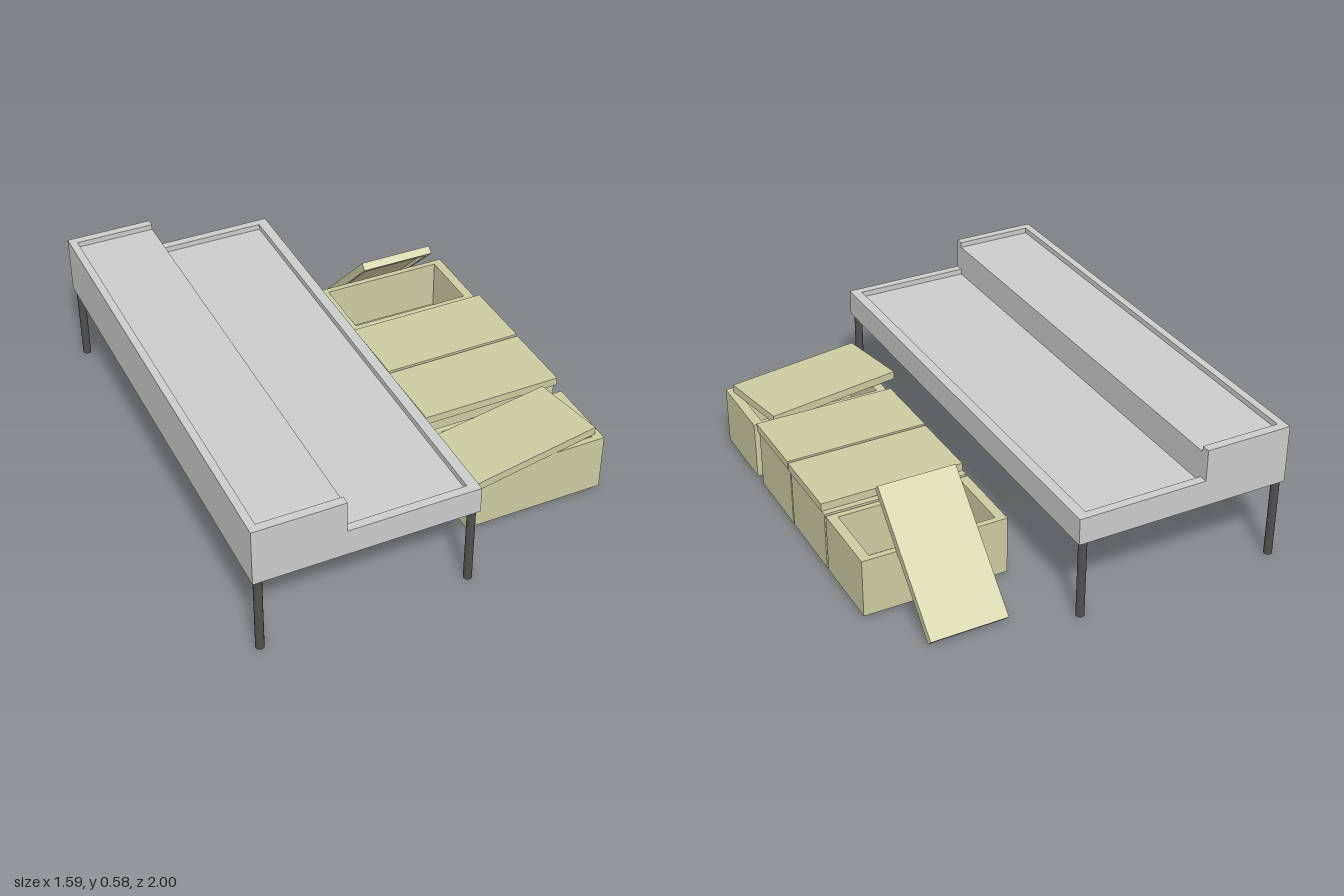
import * as THREE from 'three';

const grey = new THREE.MeshStandardMaterial({ color: 0xcccccc, name: 'lightGrey' });
const dark = new THREE.MeshStandardMaterial({ color: 0x505050, name: 'darkGrey' });
const khaki = new THREE.MeshStandardMaterial({ color: 0xcccca2, name: 'paleKhaki' });

function mesh(name, geometry, material, x = 0, y = 0, z = 0) {
  const m = new THREE.Mesh(geometry, material);
  m.name = name;
  m.position.set(x, y, z);
  return m;
}

// Profile in x/y extruded along z from z0 to z1
function slab(name, points, z0, z1, material) {
  const shape = new THREE.Shape(points.map(([x, y]) => new THREE.Vector2(x, y)));
  const geo = new THREE.ExtrudeGeometry(shape, { depth: z1 - z0, bevelEnabled: false });
  return mesh(name, geo, material, 0, 0, z0);
}

function rectangle(target, w, d) {
  target.moveTo(-w / 2, -d / 2);
  target.lineTo(w / 2, -d / 2);
  target.lineTo(w / 2, d / 2);
  target.lineTo(-w / 2, d / 2);
  target.closePath();
  return target;
}

// Open-topped tray centred on its origin: hollow wall frame plus a floor panel
function tray(name, w, h, d, wallX, wallZ, floor) {
  const group = new THREE.Group();
  group.name = name;
  const iw = w - 2 * wallX, id = d - 2 * wallZ;
  const shape = rectangle(new THREE.Shape(), w, d);
  shape.holes.push(rectangle(new THREE.Path(), iw, id));
  const frame = new THREE.ExtrudeGeometry(shape, { depth: h, bevelEnabled: false });
  frame.rotateX(-Math.PI / 2);
  group.add(mesh('walls', frame, khaki, 0, -h / 2, 0));
  group.add(mesh('panel', new THREE.BoxGeometry(iw, floor, id), khaki, 0, (floor - h) / 2, 0));
  return group;
}

// A lid is a shallow tray turned upside down
function lid(name, w, d, wallX, wallZ) {
  const group = new THREE.Group();
  group.name = name;
  const shell = tray('lidShell', w, 0.034, d, wallX, wallZ, 0.02);
  shell.rotation.z = Math.PI;
  group.add(shell);
  return group;
}

export function createModel() {
  const model = new THREE.Group();
  model.name = 'steppedTableWithBoxes';

  // Stepped table top with sunken panels and raised rims
  const table = new THREE.Group();
  table.name = 'steppedTable';
  table.add(slab('tableTop', [
    [-0.8, 0.335], [0.1, 0.335], [0.1, 0.446], [0.057, 0.446], [0.057, 0.422], [-0.436, 0.422],
    [-0.436, 0.555], [-0.768, 0.555], [-0.768, 0.578], [-0.8, 0.578],
  ], -0.964, 0.964, grey));
  const endProfile = [
    [-0.8, 0.335], [0.1, 0.335], [0.1, 0.446], [-0.436, 0.446], [-0.436, 0.578], [-0.8, 0.578],
  ];
  table.add(slab('frontRim', endProfile, 0.964, 1, grey));
  table.add(slab('backRim', endProfile, -1, -0.964, grey));

  // Legs
  for (const x of [-0.774, 0.073]) {
    for (const z of [-0.98, 0.98]) {
      table.add(mesh('leg', new THREE.CylinderGeometry(0.017, 0.017, 0.335, 16), dark, x, 0.1675, z));
    }
  }
  model.add(table);

  // Row of storage boxes
  for (const z of [0.59, 0.204, -0.13, -0.469]) {
    const box = tray('storageBox', 0.6, 0.247, 0.326, 0.04, 0.025, 0.03);
    box.position.set(0.49, 0.1335, z);
    model.add(box);
  }

  // Lids resting on the boxes: [x, z, turn]
  for (const [x, z, turn] of [[0.4445, 0.613, 0.175], [0.493, 0.225, 0.008], [0.493, -0.107, 0.008]]) {
    const top = lid('boxLid', 0.6, 0.32, 0.035, 0.015);
    top.position.set(x, 0.274, z);
    top.rotation.y = turn;
    model.add(top);
  }

  // Lid leaning against the open box
  const leaning = lid('leaningLid', 0.32, 0.6, 0.015, 0.035);
  leaning.position.set(0.491, 0.231, -0.683);
  leaning.rotation.x = -Math.PI / 4;
  model.add(leaning);

  return model;
}
